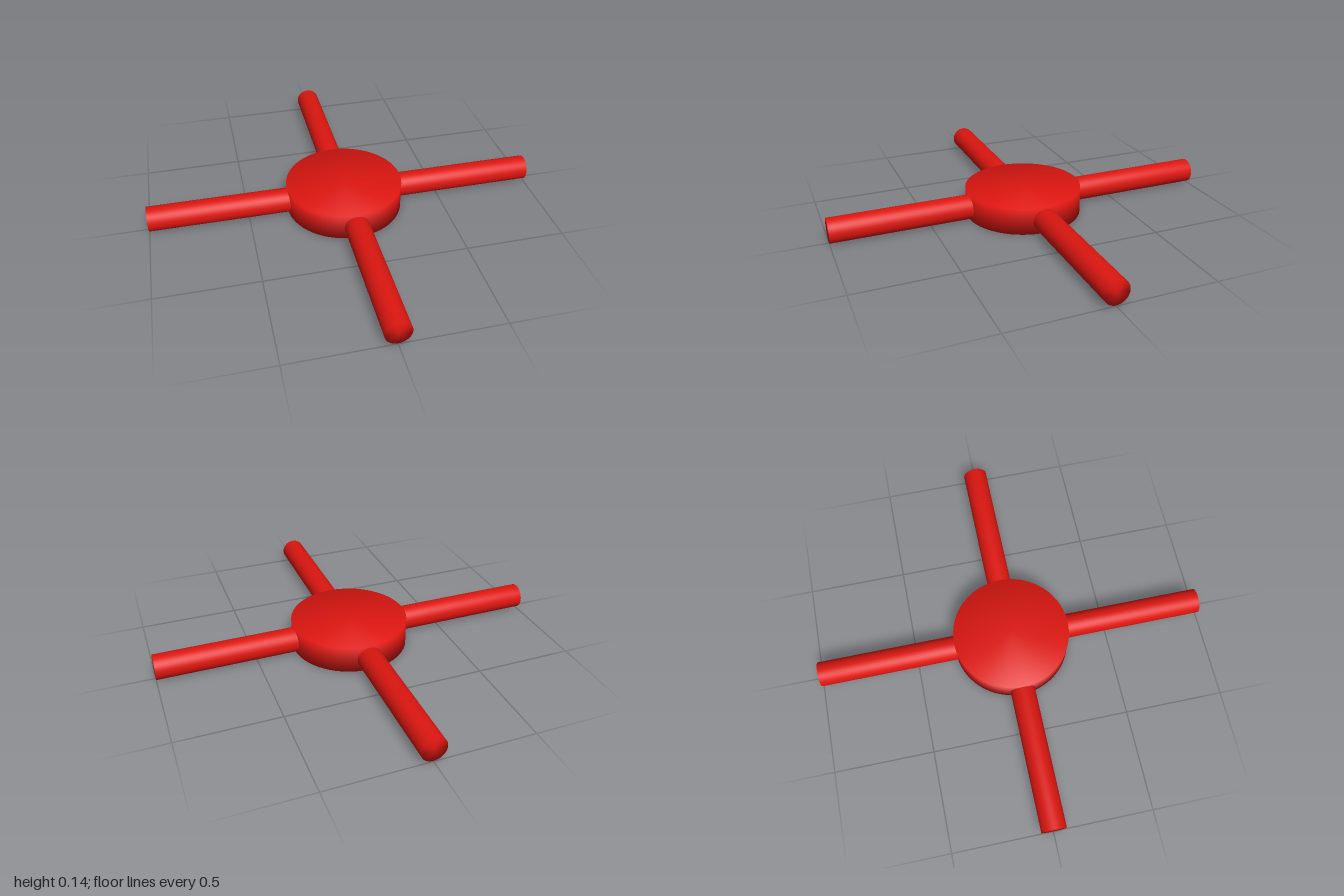
import * as THREE from 'three';

const RED = new THREE.MeshStandardMaterial({ color: 0xdd1610 });

// Solid disc or rod along y, with shading that flows softly over its rims
function softCylinder(radius, y0, y1, segments) {
  const profile = [[0, y0], [radius, y0], [radius, y1], [0, y1]];
  return new THREE.LatheGeometry(profile.map(([r, y]) => new THREE.Vector2(r, y)), segments);
}

export function createModel() {
  const group = new THREE.Group();
  group.name = 'fourArmHandwheel';

  // Central disc
  const hub = new THREE.Mesh(softCylinder(0.297, 0, 0.138, 64), RED);
  hub.name = 'hub';
  group.add(hub);

  // Four round arms, each starting just inside the rim of the hub
  const armRadius = 0.0625;
  const armGeometry = softCylinder(armRadius, 0.27, 1, 32).rotateZ(-Math.PI / 2);
  ['leftArm', 'backArm', 'rightArm', 'frontArm'].forEach((name, i) => {
    const arm = new THREE.Mesh(armGeometry, RED);
    arm.name = name;
    arm.position.y = armRadius + 0.003;
    arm.rotation.y = i * Math.PI / 2;
    group.add(arm);
  });

  return group;
}
